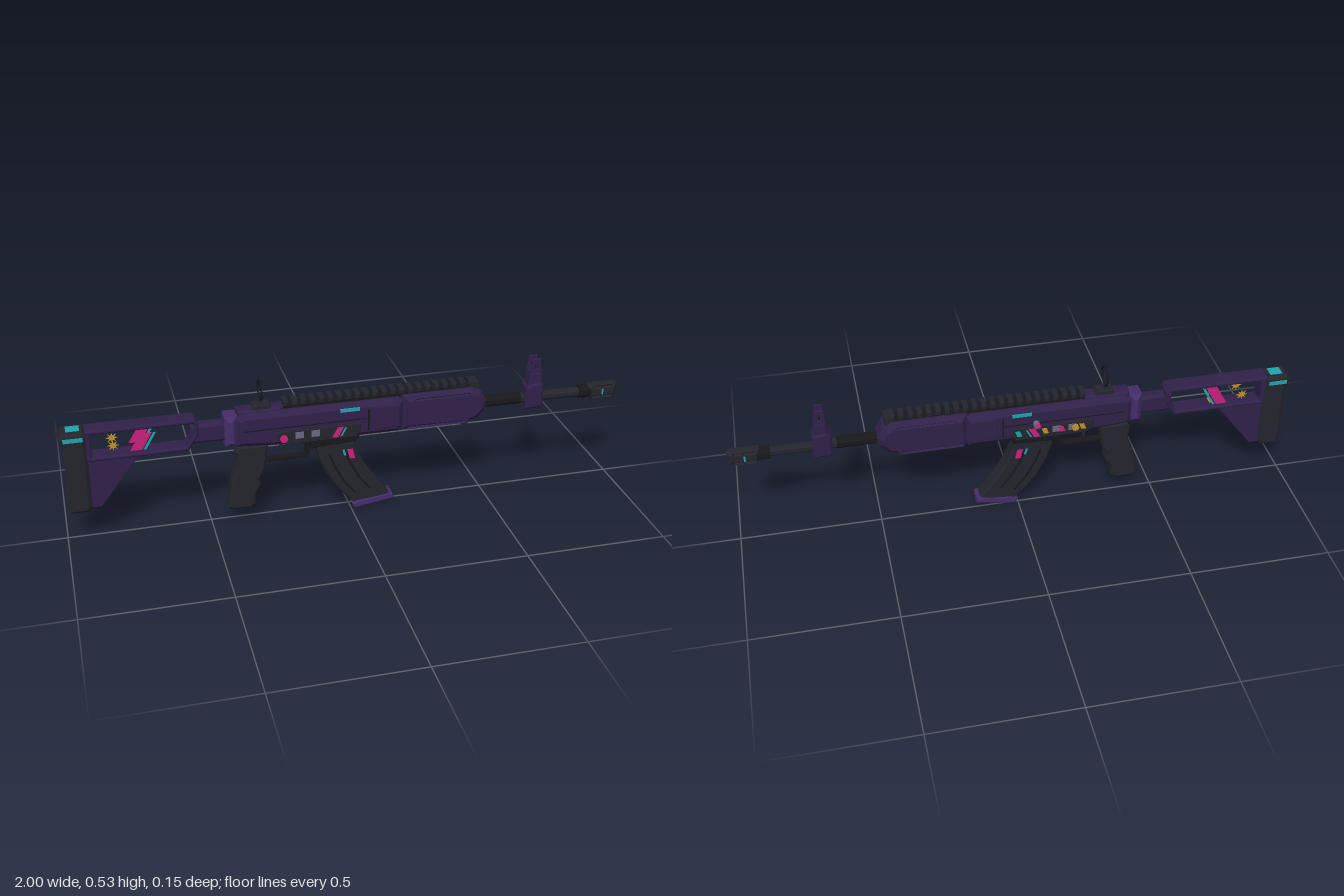
import * as THREE from 'three';

const mat = (name, color) => Object.assign(new THREE.MeshStandardMaterial({ color }), { name });

export function createModel() {
  const purple = mat('deep purple', 0x302149), violet = mat('violet', 0x442c68);
  const dark = mat('charcoal', 0x24242d), black = mat('black', 0x18181c);
  const pink = mat('pink', 0xc8207c), teal = mat('teal', 0x1fa3ad);
  const gold = mat('gold', 0xc0922a), grey = mat('grey', 0x6c6880);

  const root = new THREE.Group();
  root.name = 'rifle';
  const body = new THREE.Group();
  body.name = 'body';
  body.position.z = 0.02;
  root.add(body);

  const add = (name, geo, m, x = 0, y = 0, z = 0) => {
    const mesh = new THREE.Mesh(geo, m);
    mesh.name = name;
    mesh.position.set(x, y, z);
    body.add(mesh);
    return mesh;
  };
  const flat = (g) => {
    const f = g.toNonIndexed();
    f.computeVertexNormals();
    return f;
  };
  const vec = (pts) => pts.map(([x, y]) => new THREE.Vector2(x, y));
  // Side outline with chamfered edges, w wide and centred on z
  const slab = (name, m, pts, w, b = 0.006, holes = [], z = 0) => {
    const s = new THREE.Shape(vec(pts));
    holes.forEach((h) => s.holes.push(new THREE.Path(vec(h))));
    const g = new THREE.ExtrudeGeometry(s, {
      depth: w - 2 * b, bevelEnabled: b > 0, bevelThickness: b,
      bevelSize: b, bevelOffset: -b, bevelSegments: 1,
    });
    g.translate(0, 0, -(w - 2 * b) / 2);
    return add(name, g, m, 0, 0, z);
  };
  const rect = (x0, x1, y0, y1) => [[x0, y0], [x1, y0], [x1, y1], [x0, y1]];
  const box = (name, m, x0, x1, y0, y1, w, z = 0) =>
    add(name, new THREE.BoxGeometry(x1 - x0, y1 - y0, w), m, (x0 + x1) / 2, (y0 + y1) / 2, z);
  const rodX = (name, m, x0, x1, r, y) => {
    const g = new THREE.CylinderGeometry(r, r, x1 - x0, 8);
    g.rotateY(Math.PI / 8).rotateZ(Math.PI / 2);
    return add(name, flat(g), m, (x0 + x1) / 2, y);
  };
  // Thin painted plates, one per side
  const decal = (name, m, pts, z, sides = [1, -1]) =>
    sides.forEach((s) => slab(name, m, pts, 0.003, 0, [], s * z));
  const slash = (name, m, x, y, w, h, skew, z, sides) =>
    decal(name, m, [[x, y], [x + w, y], [x + w + skew, y + h], [x + skew, y + h]], z, sides);
  const star = (x, y, r, z, sides) => decal('starMark', gold,
    Array.from({ length: 16 }, (_, i) => {
      const a = (i * Math.PI) / 8, q = i % 2 ? r * 0.4 : r;
      return [x + q * Math.cos(a), y + q * Math.sin(a)];
    }), z, sides);

  // Stock: butt pad, open frame, brace and tube
  slab('buttPad', dark, [[-0.985, 0.12], [-0.915, 0.12], [-0.907, 0.14], [-0.907, 0.41],
    [-0.915, 0.425], [-0.985, 0.425], [-1, 0.405], [-0.985, 0.37], [-0.985, 0.24], [-0.99, 0.2]], 0.077, 0.012);
  slash('buttStripe', teal, -0.983, 0.393, 0.066, 0.015, 0, 0.039);
  box('buttTopStripe', teal, -0.97, -0.925, 0.424, 0.427, 0.04);
  slab('stockFrame', purple, [[-0.91, 0.31], [-0.57, 0.31], [-0.533, 0.37], [-0.533, 0.41], [-0.545, 0.425], [-0.91, 0.425]],
    0.066, 0.005, [[[-0.892, 0.325], [-0.575, 0.325], [-0.545, 0.37], [-0.545, 0.403], [-0.55, 0.409], [-0.892, 0.409]]]);
  slab('stockBrace', purple, [[-0.91, 0.13], [-0.875, 0.13], [-0.735, 0.312], [-0.91, 0.312]],
    0.05, 0.004, [[[-0.885, 0.205], [-0.805, 0.308], [-0.885, 0.308]]]);
  slab('stockTube', purple, rect(-0.56, -0.43, 0.327, 0.398), 0.046, 0.01);
  slash('stockPinkStripe', pink, -0.765, 0.335, 0.04, 0.06, 0.035, 0.029);
  slash('stockTealStripe', teal, -0.72, 0.335, 0.009, 0.06, 0.035, 0.029);
  slash('stockGoldStripe', gold, -0.705, 0.345, 0.006, 0.022, 0.012, 0.029, [-1]);
  star(-0.82, 0.362, 0.02, 0.029);

  // Receiver
  slab('rearBlock', violet, rect(-0.445, -0.4, 0.307, 0.42), 0.084, 0.016);
  slab('receiver', purple, [[-0.41, 0.305], [-0.27, 0.295], [0.18, 0.295], [0.18, 0.415], [0.17, 0.425], [-0.38, 0.425], [-0.41, 0.41]],
    0.094, 0.018);
  slab('topCover', purple, rect(-0.4, -0.24, 0.405, 0.435), 0.055, 0.008);
  slab('frontBand', purple, rect(0.06, 0.185, 0.305, 0.42), 0.1, 0.018);
  box('bandSeam', black, 0.054, 0.06, 0.32, 0.4, 0.096);
  box('upperSeam', black, -0.38, 0.05, 0.363, 0.367, 0.0955);
  slab('lowerPanel', dark, [[-0.27, 0.32], [-0.24, 0.298], [0.01, 0.298], [0.03, 0.32], [0.03, 0.352], [-0.27, 0.352]], 0.1, 0.004);
  slab('magazineWell', black, [[-0.145, 0.262], [0.015, 0.27], [0.04, 0.31], [-0.145, 0.31]], 0.066, 0.006);
  slash('portStripe', teal, -0.045, 0.398, 0.07, 0.013, 0, 0.0465);
  slash('panelPinkStripe', pink, -0.075, 0.308, 0.022, 0.036, 0.02, 0.051);
  slash('panelTealStripe', teal, -0.045, 0.31, 0.006, 0.03, 0.016, 0.051);
  [-0.205, -0.148].forEach((x) => slash('greyMark', grey, x, 0.32, 0.03, 0.024, 0, 0.051));
  [[-0.24, gold], [-0.105, gold], [-0.01, teal], [-0.165, pink]].forEach(([x, m]) =>
    slash('farMark', m, x, 0.318, 0.018, 0.022, 0.008, 0.051, [-1]));
  add('selector', flat(new THREE.CylinderGeometry(0.014, 0.014, 0.012, 8).rotateX(Math.PI / 2)), pink, -0.245, 0.325, 0.051);
  add('farPin', flat(new THREE.CylinderGeometry(0.013, 0.013, 0.014, 8).rotateX(Math.PI / 2)), gold, -0.2, 0.33, -0.052);

  // Charging handle on the right side
  add('handleCollar', flat(new THREE.CylinderGeometry(0.012, 0.012, 0.02, 8).rotateX(Math.PI / 2)), grey, -0.06, 0.365, -0.057);
  const arm = new THREE.LineCurve3(new THREE.Vector3(-0.06, 0.363, -0.055), new THREE.Vector3(-0.06, 0.378, -0.083));
  add('handleArm', new THREE.TubeGeometry(arm, 1, 0.004, 6), dark);
  add('handleKnob', flat(new THREE.SphereGeometry(0.009, 8, 6)), pink, -0.06, 0.379, -0.086);

  // Handguard with open window
  slab('handguard', purple, [[0.18, 0.3], [0.4, 0.295], [0.46, 0.31], [0.49, 0.345], [0.493, 0.375], [0.47, 0.415], [0.44, 0.43], [0.18, 0.43]],
    0.1, 0.02, [[[0.215, 0.325], [0.4, 0.325], [0.435, 0.35], [0.435, 0.385], [0.415, 0.4], [0.235, 0.4], [0.215, 0.385]]]);
  slash('guardPinkStripe', pink, 0.285, 0.327, 0.042, 0.072, 0.035, 0.045);
  slash('guardTealStripe', teal, 0.335, 0.327, 0.01, 0.072, 0.035, 0.045);
  star(0.4, 0.365, 0.018, 0.045);
  add('guardKnob', flat(new THREE.CylinderGeometry(0.014, 0.014, 0.06, 8).rotateX(Math.PI / 2)), dark, 0.415, 0.297);

  // Top rail
  box('railBase', black, -0.24, 0.46, 0.42, 0.436, 0.044);
  const teeth = 22;
  for (let i = 0; i < teeth; i++) {
    slab('railTooth', dark, rect(-0.24 + i * 0.0318, -0.222 + i * 0.0318, 0.432, 0.453), 0.052, 0.004);
  }
  box('railFrontStop', dark, 0.43, 0.465, 0.42, 0.448, 0.05);

  // Rear ring sight
  slab('rearSightBase', dark, [[-0.355, 0.42], [-0.27, 0.42], [-0.285, 0.448], [-0.34, 0.448]], 0.045, 0.004);
  box('rearSightStem', dark, -0.322, -0.308, 0.44, 0.462, 0.012);
  add('rearSightRing', new THREE.TorusGeometry(0.0345, 0.0035, 6, 32).rotateY(Math.PI / 2), black, -0.315, 0.495);

  // Barrel and muzzle
  rodX('innerBarrel', dark, 0.17, 0.5, 0.021, 0.354);
  rodX('barrel', dark, 0.48, 0.87, 0.018, 0.354);
  rodX('barrelCollar', black, 0.49, 0.63, 0.022, 0.357);
  rodX('muzzleNeck', black, 0.855, 0.9, 0.025, 0.354);
  slab('muzzleBrake', dark, rect(0.89, 1, 0.329, 0.379), 0.05, 0.013,
    [rect(0.916, 0.934, 0.343, 0.367), rect(0.95, 0.968, 0.343, 0.367)]);
  slash('muzzleStripe', teal, 0.939, 0.343, 0.006, 0.022, 0, 0.0255);
  rodX('bore', black, 0.995, 1.0005, 0.011, 0.354);

  // Front sight
  slab('frontSightBlock', purple, [[0.645, 0.317], [0.712, 0.317], [0.712, 0.405], [0.7, 0.42], [0.66, 0.42], [0.645, 0.4]], 0.062, 0.01);
  slab('frontSightTower', purple, [[0.652, 0.4], [0.708, 0.4], [0.7, 0.458], [0.66, 0.458]], 0.05, 0.005);
  [-1, 1].forEach((s) => slab('frontSightEar', purple,
    [[0.657, 0.445], [0.703, 0.445], [0.694, 0.51], [0.665, 0.51]], 0.009, 0.002,
    [rect(0.674, 0.686, 0.47, 0.485)], s * 0.018));
  add('frontSightPin', flat(new THREE.CylinderGeometry(0.0015, 0.005, 0.045, 6)), black, 0.68, 0.474);

  // Grip with open centre
  slab('grip', dark, [[-0.445, 0.068], [-0.43, 0.058], [-0.365, 0.056], [-0.345, 0.07], [-0.345, 0.105], [-0.325, 0.14],
    [-0.33, 0.165], [-0.31, 0.2], [-0.295, 0.3], [-0.4, 0.3], [-0.41, 0.28], [-0.405, 0.23], [-0.425, 0.17]],
  0.064, 0.008, [[[-0.428, 0.088], [-0.425, 0.082], [-0.368, 0.08], [-0.367, 0.11], [-0.348, 0.145],
    [-0.352, 0.165], [-0.338, 0.203], [-0.39, 0.203], [-0.408, 0.17]]]);

  // Trigger and guard
  slab('triggerGuard', black, [[-0.305, 0.222], [-0.16, 0.222], [-0.148, 0.235], [-0.148, 0.305], [-0.16, 0.305],
    [-0.16, 0.24], [-0.165, 0.234], [-0.305, 0.234]], 0.026, 0.002);
  slab('trigger', dark, [[-0.262, 0.3], [-0.25, 0.27], [-0.25, 0.247], [-0.24, 0.245], [-0.238, 0.272], [-0.242, 0.3]], 0.014, 0.002);

  // Curved magazine, its side ribs and floor plate
  const back = [[-0.135, 0.29], [-0.12, 0.23], [-0.1, 0.175], [-0.065, 0.11], [-0.025, 0.06], [0.01, 0.025]];
  const front = [[0.145, 0.04], [0.11, 0.085], [0.07, 0.14], [0.04, 0.195], [0.018, 0.25], [0.01, 0.29]];
  slab('magazine', dark, [...back, ...front], 0.06, 0.006);
  const between = (t, i) => {
    const f = front[front.length - 1 - i];
    return [0, 1].map((k) => back[i][k] * (1 - t) + f[k] * t);
  };
  [0.25, 0.65].forEach((t) => slab('magazineRib', black, [
    ...[1, 2, 3, 4].map((i) => between(t, i)),
    ...[4, 3, 2, 1].map((i) => between(t + 0.06, i)),
  ], 0.064, 0.001));
  slab('magazineFloor', violet, [[0.002, 0.022], [0.012, 0], [0.155, 0.022], [0.153, 0.042], [0.135, 0.048], [0.02, 0.032]], 0.066, 0.006);
  slash('magazinePinkMark', pink, -0.008, 0.208, 0.02, 0.036, -0.008, 0.032);
  slash('magazineTealMark', teal, -0.028, 0.222, 0.008, 0.022, -0.006, 0.032);

  return root;
}
